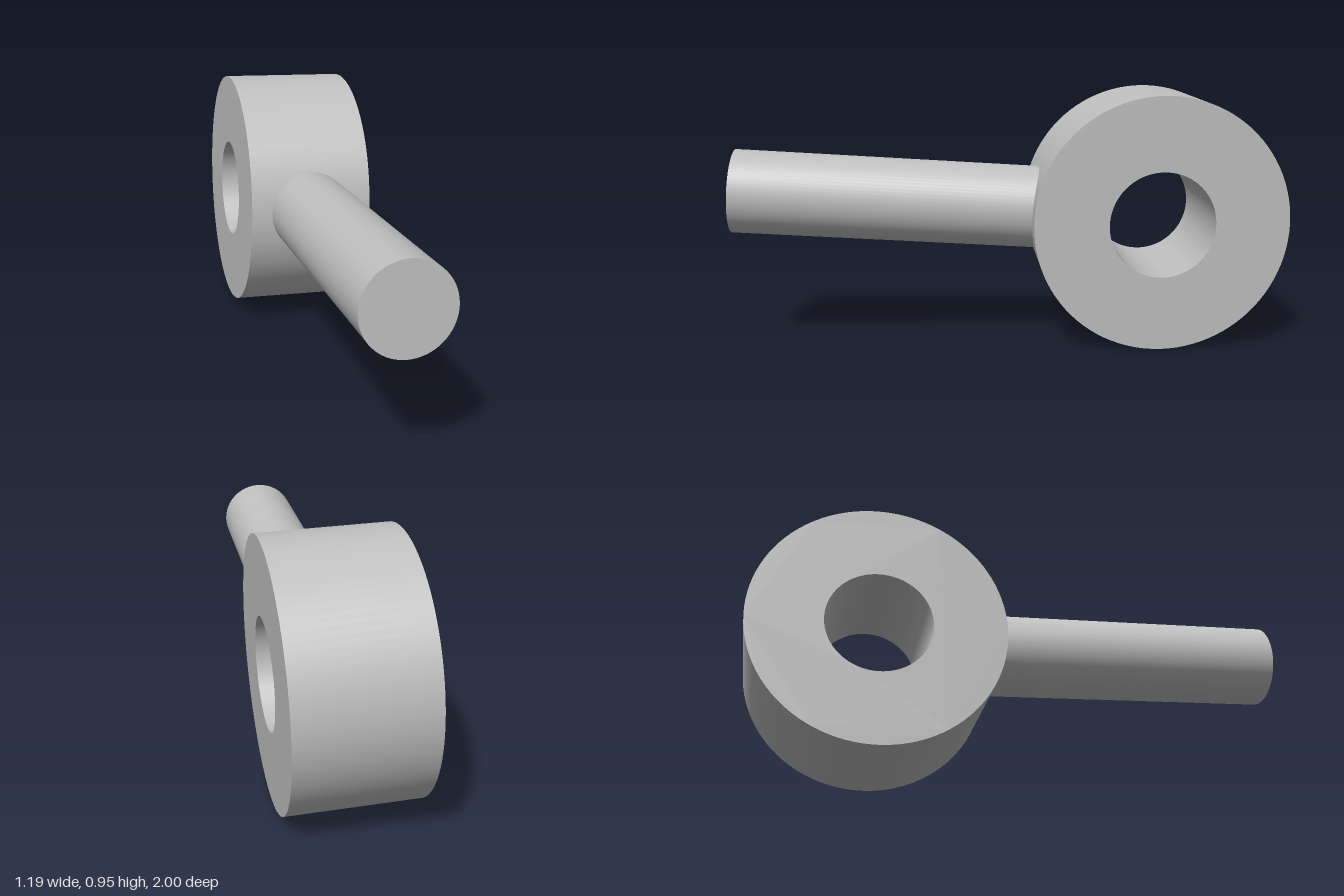
import * as THREE from 'three';
import { toCreasedNormals } from 'three/addons/utils/BufferGeometryUtils.js';

export function createModel() {
  const model = new THREE.Group();
  model.name = 'rodEnd';

  const steel = new THREE.MeshStandardMaterial({ color: 0xc0c0c0 });
  steel.name = 'steel grey';

  const outerRadius = 0.466, holeRadius = 0.194, width = 0.466;
  const rodRadius = 0.154, rodStart = 0.3, rodEnd = 1.561;

  // Tilted frame: local x runs along the rod, local z along the eye's bore
  const xAxis = new THREE.Vector3(0.6465, 0.102, 1.417).normalize();
  const zAxis = new THREE.Vector3(0.425, -0.014, -0.192);
  zAxis.addScaledVector(xAxis, -zAxis.dot(xAxis)).normalize();
  const yAxis = new THREE.Vector3().crossVectors(zAxis, xAxis);
  const body = new THREE.Group();
  body.name = 'body';
  body.quaternion.setFromRotationMatrix(new THREE.Matrix4().makeBasis(xAxis, yAxis, zAxis));
  body.position.set(-0.192, 0.4745, -0.481);
  model.add(body);

  // Thick ring with a through hole
  const disc = new THREE.Shape().absarc(0, 0, outerRadius, 0, Math.PI * 2, false);
  disc.holes.push(new THREE.Path().absarc(0, 0, holeRadius, 0, Math.PI * 2, true));
  const ringGeometry = new THREE.ExtrudeGeometry(disc, {
    depth: width, bevelEnabled: false, curveSegments: 48,
  });
  ringGeometry.translate(0, 0, -width / 2);
  const ring = new THREE.Mesh(toCreasedNormals(ringGeometry, 0.5), steel);
  ring.name = 'eyeRing';
  body.add(ring);

  // Round shank, its inner end buried in the ring wall
  const rodGeometry = new THREE.CylinderGeometry(rodRadius, rodRadius, rodEnd - rodStart, 72);
  rodGeometry.rotateZ(-Math.PI / 2);
  rodGeometry.translate((rodStart + rodEnd) / 2, 0, 0);
  const rod = new THREE.Mesh(rodGeometry, steel);
  rod.name = 'shank';
  body.add(rod);

  return model;
}
